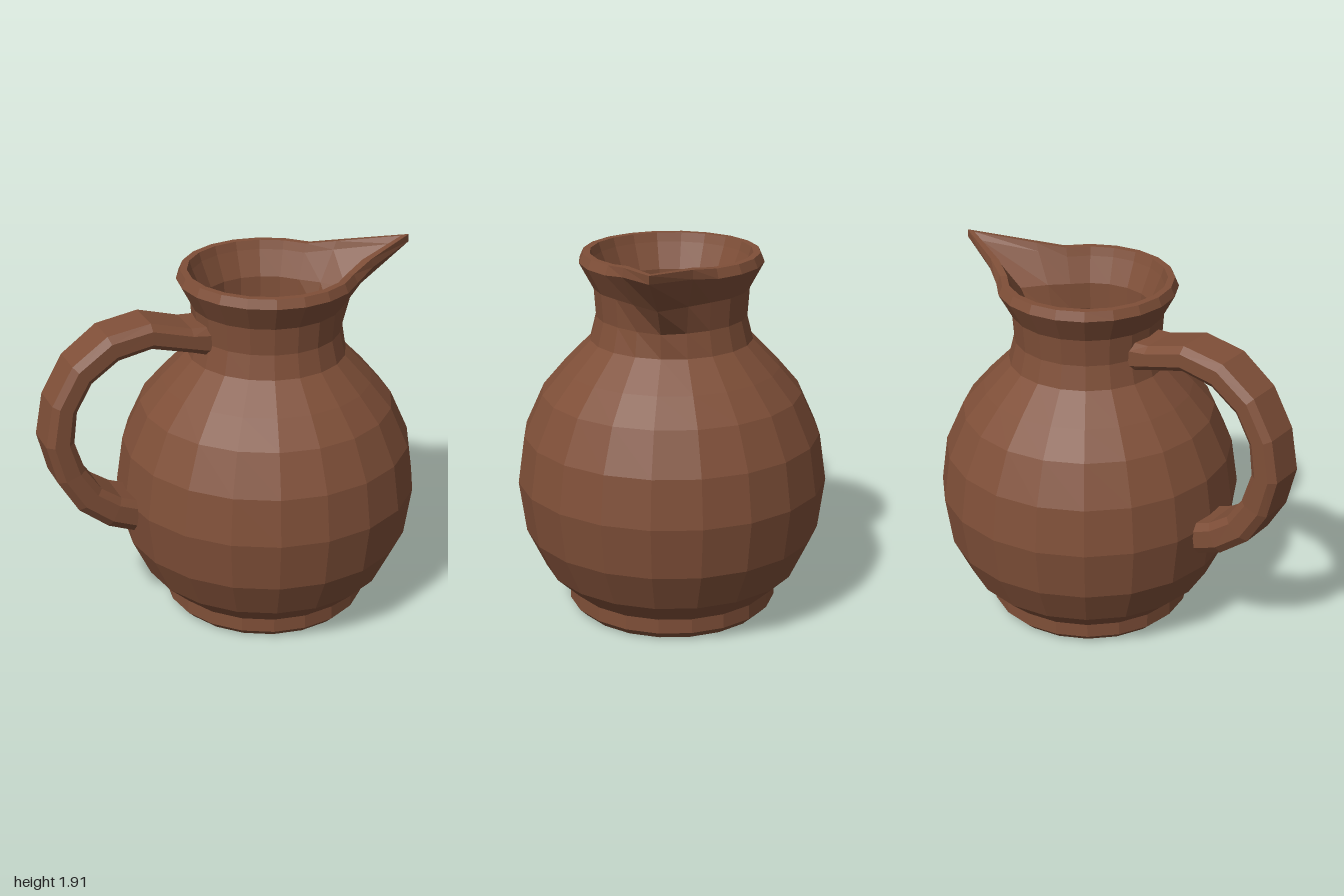
import * as THREE from 'three';

const SIDES = 20;
const CENTRE_X = 0.205;

// Skin a list of closed rings (each an array of [x, y, z]) into a faceted surface
function loft(rings) {
  const n = rings[0].length, pos = [];
  for (let i = 0; i < rings.length - 1; i++) {
    for (let j = 0; j < n; j++) {
      const k = (j + 1) % n;
      const a = rings[i][j], b = rings[i][k], c = rings[i + 1][k], d = rings[i + 1][j];
      pos.push(...a, ...d, ...c, ...a, ...c, ...b);
    }
  }
  const g = new THREE.BufferGeometry();
  g.setAttribute('position', new THREE.Float32BufferAttribute(pos, 3));
  g.computeVertexNormals();
  return g;
}

// One ring of the jug; the spout pulls out the corner at +x and its two neighbours
function jugRing([r, y, rNear = r, rTip = r, rise = 0]) {
  return Array.from({ length: SIDES }, (_, j) => {
    const step = Math.min(j, SIDES - j);
    const radius = step === 0 ? rTip : step === 1 ? rNear : r;
    const lift = step === 0 ? rise : step === 1 ? rise * 0.4 : 0;
    const a = (j / SIDES) * Math.PI * 2;
    return [CENTRE_X + radius * Math.cos(a), y + lift, radius * Math.sin(a)];
  });
}

// One ring of the handle between an outer and an inner point, with bevelled corners
function handleRing([ox, oy, ix, iy, w]) {
  const section = [[0, -0.75], [0, 0.75], [0.25, 1], [0.78, 1], [1, 0.8], [1, -0.8], [0.78, -1], [0.25, -1]];
  return section.map(([t, s]) => [ox + (ix - ox) * t, oy + (iy - oy) * t, s * w]);
}

function capRing(ring) {
  const c = [0, 1, 2].map(k => ring.reduce((sum, p) => sum + p[k], 0) / ring.length);
  return ring.map(() => c);
}

export function createModel() {
  const group = new THREE.Group();
  group.name = 'jug';
  const clay = new THREE.MeshStandardMaterial({ color: 0x7f4f38, flatShading: true });
  clay.name = 'brown clay';

  const add = (name, geometry) => {
    const mesh = new THREE.Mesh(geometry, clay);
    mesh.name = name;
    group.add(mesh);
  };

  // Recessed foot ring: radius, height
  const foot = [[0, 0.05], [0.41, 0.05], [0.43, 0], [0.49, 0], [0.53, 0.04], [0.53, 0.115], [0.5, 0.115]];
  add('foot', loft(foot.map(jugRing)));

  // Belly, neck and spout outside: radius, height, radius beside tip, tip radius, tip rise
  const outside = [
    [0.5, 0.115], [0.53, 0.115], [0.65, 0.23], [0.745, 0.43], [0.78, 0.69], [0.745, 0.93],
    [0.65, 1.14], [0.54, 1.27], [0.405, 1.41],
    [0.375, 1.53, 0.385, 0.405],
    [0.385, 1.67, 0.42, 0.51],
    [0.455, 1.8, 0.53, 0.79, 0.07],
  ];
  add('body', loft(outside.map(jugRing)));

  // Lip around the opening
  const lip = [
    [0.455, 1.8, 0.53, 0.79, 0.07], [0.435, 1.845, 0.52, 0.79, 0.065],
    [0.4, 1.845, 0.475, 0.745, 0.062], [0.385, 1.8, 0.455, 0.7, 0.07],
  ];
  add('lip', loft(lip.map(jugRing)));

  // Hollow inside, down to the floor
  const inside = [
    [0.385, 1.8, 0.455, 0.7, 0.07], [0.33, 1.67, 0.37, 0.44], [0.325, 1.53, 0.335, 0.355],
    [0.355, 1.41], [0.49, 1.25], [0.6, 1.12], [0.69, 0.92], [0.725, 0.69],
    [0.69, 0.44], [0.6, 0.26], [0.48, 0.15], [0, 0.15],
  ];
  add('inside', loft(inside.map(jugRing)));

  // Handle stations: outer x, y, inner x, y, half width
  const stations = [
    [-0.145, 1.62, -0.145, 1.47, 0.13], [-0.24, 1.625, -0.24, 1.5, 0.13],
    [-0.45, 1.685, -0.45, 1.555, 0.13], [-0.67, 1.65, -0.62, 1.52, 0.125],
    [-0.85, 1.52, -0.76, 1.42, 0.12], [-0.96, 1.33, -0.84, 1.28, 0.12],
    [-1, 1.115, -0.86, 1.12, 0.12], [-0.95, 0.91, -0.81, 0.96, 0.12],
    [-0.85, 0.74, -0.73, 0.84, 0.125], [-0.7, 0.62, -0.63, 0.77, 0.13],
    [-0.565, 0.565, -0.54, 0.735, 0.13],
  ].map(handleRing);
  add('handle', loft([capRing(stations[0]), ...stations, capRing(stations[stations.length - 1])]));

  return group;
}
